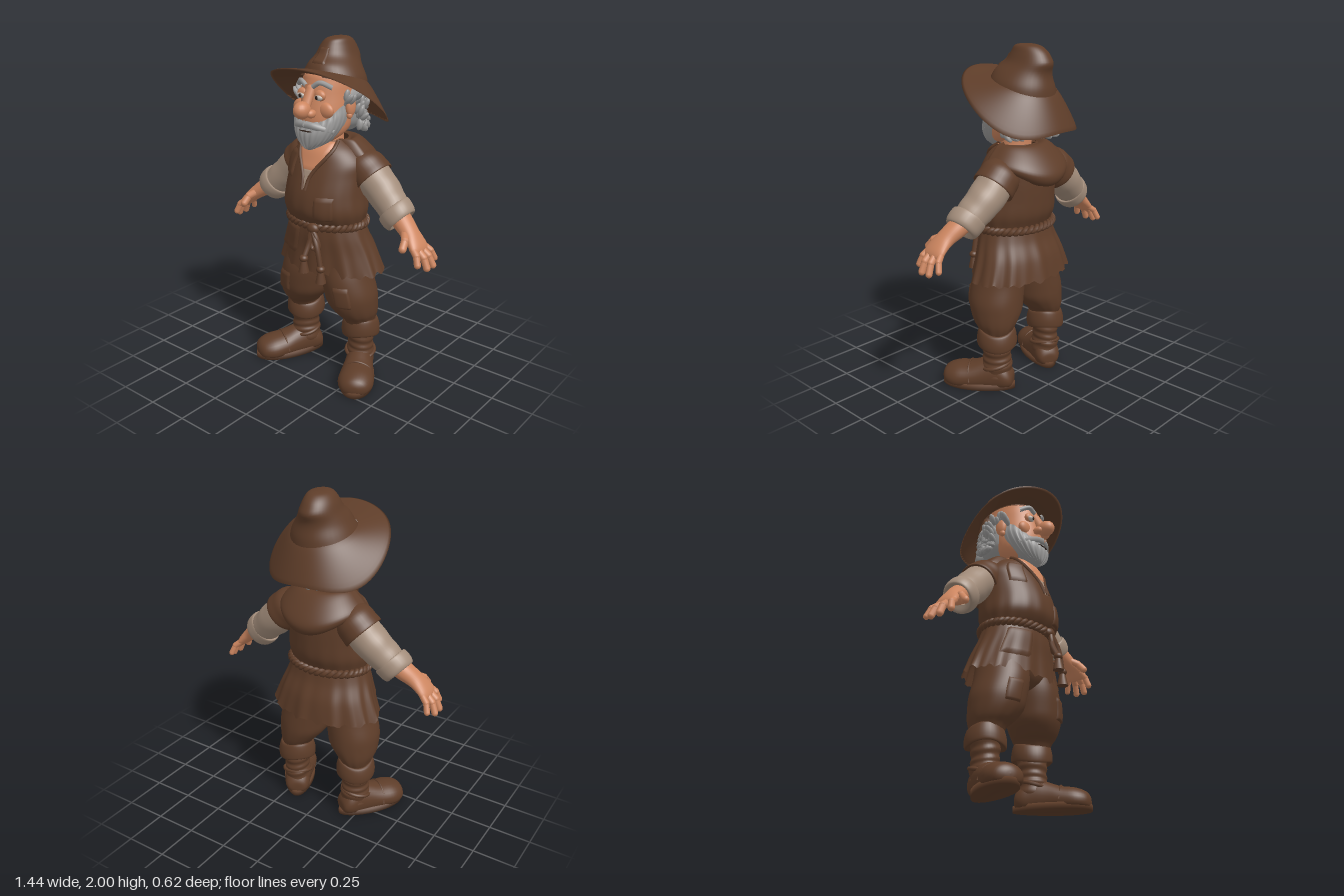
import * as THREE from 'three';

const mat = (name, color, side = THREE.FrontSide) => Object.assign(new THREE.MeshStandardMaterial({ color, side }), { name });
const V = (x, y, z) => new THREE.Vector3(x, y, z);

// Surface through elliptical rings [y, halfX, halfZ, centreZ, centreX]; theta 0 faces +z
function loft(rows, mod) {
  const n = rows.length - 1;
  return (th, v) => {
    const k = Math.min(v * n, n - 1e-6), i = Math.floor(k), t = k - i;
    const at = (j, c) => rows[Math.max(0, Math.min(n, j))][c] ?? 0;
    const c = [0, 1, 2, 3, 4].map(q => {
      const a = at(i - 1, q), b = at(i, q), d = at(i + 1, q), e = at(i + 2, q);
      return b + 0.5 * t * (d - a + t * (2 * a - 5 * b + 4 * d - e + t * (3 * (b - d) + e - a)));
    });
    const p = V(c[4] + Math.max(0, c[1]) * Math.sin(th), c[0], c[3] + Math.max(0, c[2]) * Math.cos(th));
    if (mod) mod(p, th, v);
    return p;
  };
}

// Grid geometry from a function of column and row; columns wrap when closed
function grid(fn, nu, nv, closed) {
  const pos = [], idx = [], w = closed ? nu : nu + 1;
  for (let j = 0; j <= nv; j++) for (let i = 0; i < w; i++) pos.push(...fn(i / nu, j / nv).toArray());
  for (let j = 0; j < nv; j++) for (let i = 0; i < nu; i++) {
    const a = j * w + i, b = j * w + (i + 1) % w;
    idx.push(a, b, b + w, a, b + w, a + w);
  }
  const g = new THREE.BufferGeometry();
  g.setAttribute('position', new THREE.Float32BufferAttribute(pos, 3));
  g.setIndex(idx);
  g.computeVertexNormals();
  return g;
}
const hull = (f, nu = 32, nv = 24) => grid((s, t) => f((s * 2 - 1) * Math.PI, t), nu, nv, true);

// Point lifted off a surface along its normal
function lifted(f, th, v, off) {
  const p = f(th, v), e = 0.004;
  const du = f(th + e, v).sub(f(th - e, v)), dv = f(th, v + e).sub(f(th, v - e));
  return p.addScaledVector(du.cross(dv).normalize(), off);
}
// Thin plate lying on a surface, its border tucked back to it
const plate = (f, map, off = 0.008, n = 12) => grid((s, t) => {
  const edge = s === 0 || s === 1 || t === 0 || t === 1;
  return lifted(f, ...map(s, t), edge ? 0 : off);
}, n, n, false);
const patch = (f, t0, t1, v0, v1) => plate(f, (s, t) => [t0 + (t1 - t0) * s + 0.03 * (t - 0.5), v0 + (v1 - v0) * t]);

const tube = (pts, r, n = 24, closed = false) => new THREE.TubeGeometry(new THREE.CatmullRomCurve3(pts, closed), n, r, 7, closed);
const ball = (x, y, z) => new THREE.SphereGeometry(1, 20, 14).scale(x, y, z);
function rod(a, b, r) {
  const d = b.clone().sub(a), g = new THREE.CapsuleGeometry(r, d.length(), 5, 10);
  g.applyQuaternion(new THREE.Quaternion().setFromUnitVectors(V(0, 1, 0), d.clone().normalize()));
  const m = a.clone().add(b).multiplyScalar(0.5);
  return g.translate(m.x, m.y, m.z);
}
function add(parent, name, geo, material, x = 0, y = 0, z = 0) {
  const m = new THREE.Mesh(geo, material);
  m.name = name;
  m.position.set(x, y, z);
  parent.add(m);
  return m;
}
// Mirrored copy across x with corner order restored
function mirrored(src, name) {
  const out = new THREE.Group();
  out.name = name;
  src.updateMatrixWorld(true);
  src.traverse(o => {
    if (!o.isMesh) return;
    const g = o.geometry.clone().applyMatrix4(o.matrixWorld).scale(-1, 1, 1), ix = g.index.array;
    for (let i = 0; i < ix.length; i += 3) [ix[i], ix[i + 1]] = [ix[i + 1], ix[i]];
    add(out, o.name, g, o.material);
  });
  return out;
}

export function createModel() {
  const root = new THREE.Group();
  root.name = 'villager';
  const brown = mat('brown cloth and leather', 0x5e3d29, THREE.DoubleSide), linen = mat('linen', 0xa38d7b, THREE.DoubleSide);
  const skin = mat('skin', 0xcd8660, THREE.DoubleSide), grey = mat('grey hair', 0x9b9a99), white = mat('eye white', 0xbfb8b0), dark = mat('dark', 0x2e2019);
  const group = name => { const g = new THREE.Group(); g.name = name; root.add(g); return g; };
  let seed = 7;
  const rand = () => (seed = (seed * 16807) % 2147483647) / 2147483647;

  // Tunic: skirt with folds and ragged hem, then the blouse
  const skirt = loft([[0.68, 0.345, 0.22, -0.02], [0.8, 0.3, 0.205, -0.01], [0.9, 0.262, 0.185, 0.01], [0.985, 0.235, 0.17, 0.015]], (p, th, v) => {
    const k = 1 + 0.025 * (1 - v) * (Math.sin(11 * th) + 0.6 * Math.sin(19 * th + 1));
    p.x *= k; p.z *= k;
    p.y += 0.014 * Math.pow(1 - v, 6) * Math.sin(23 * th) * Math.sin(7 * th);
  });
  add(root, 'tunicSkirt', hull(skirt, 120, 20), brown);
  add(root, 'skirtPatch', patch(skirt, -1.0, -0.3, 0.25, 0.8), brown);
  const torso = loft([[0.96, 0.23, 0.16, 0.02], [1.0, 0.245, 0.19, 0.03], [1.06, 0.258, 0.215, 0.032], [1.15, 0.25, 0.215, 0.025],
    [1.25, 0.245, 0.2, 0.008], [1.33, 0.24, 0.18, -0.005], [1.4, 0.185, 0.15, -0.005], [1.45, 0.11, 0.1, 0]], (p, th, v) => {
    const k = 1 + 0.018 * Math.pow(1 - v, 3) * Math.sin(17 * th);
    p.x *= k; p.z *= k;
  });
  add(root, 'tunicBlouse', hull(torso, 96, 35), brown);
  add(root, 'bellyPatch', patch(torso, 0.27, 0.74, 0.2, 0.44), brown);
  add(root, 'shoulderPatch', patch(torso, -1.0, -0.5, 0.54, 0.8), brown);

  // Open neckline with undershirt, chest and trimmed edges
  const neckW = t => 0.025 + 1.0 * Math.pow(t, 1.9), neckV = t => 0.48 + 0.5 * t;
  const neckPlate = (t0, t1, off) => plate(torso, (s, t) => {
    const q = t0 + (t1 - t0) * t;
    return [(s * 2 - 1) * neckW(q), neckV(q)];
  }, off);
  add(root, 'undershirt', neckPlate(0, 0.36, 0.006), linen);
  add(root, 'chest', neckPlate(0.3, 1, 0.009), skin);
  for (const s of [-1, 1]) {
    const pts = [0, 0.2, 0.4, 0.6, 0.8, 1].map(t => lifted(torso, s * (neckW(t) + 0.02), neckV(t), 0.004));
    add(root, 'necklineTrim', tube(pts, 0.011), brown);
  }

  // Hood resting on the shoulders and back
  const hood = loft([[1.365, 0.2, 0.17, -0.03], [1.345, 0.24, 0.228, -0.035], [1.37, 0.25, 0.248, -0.035], [1.42, 0.205, 0.2, -0.03], [1.455, 0.155, 0.14, -0.02], [1.43, 0.11, 0.1, -0.01]], (p, th, v) => {
    const c = Math.cos(th), back = Math.max(0, -c);
    p.y -= 0.14 * back * back * Math.pow(1 - v, 1.1) - 0.02 * back * v;
    if (c > 0) p.z *= 0.3;
  });
  add(root, 'hood', hull(hood, 64, 30), brown);

  // Rope belt of two twisted strands, knot, loop and hanging ends
  for (const ph of [0, Math.PI]) {
    const pts = Array.from({ length: 120 }, (_, i) => {
      const a = i / 120 * Math.PI * 2, q = a * 20 + ph, r = 0.012 * Math.cos(q);
      return V((0.242 + r) * Math.sin(a), 0.972 + 0.013 * Math.sin(q), 0.02 + (0.185 + r) * Math.cos(a));
    });
    add(root, 'ropeBelt', tube(pts, 0.014, 240, true), brown);
  }
  add(root, 'ropeKnot', ball(0.04, 0.032, 0.028), brown, 0.05, 0.965, 0.215);
  add(root, 'ropeLoop', tube([V(0.05, 0.96, 0.225), V(0.09, 0.92, 0.23), V(0.1, 0.86, 0.225), V(0.06, 0.85, 0.23), V(0.04, 0.91, 0.235)], 0.013, 32, true), brown);
  for (const [x, y, z] of [[0.035, 0.77, 0.28], [0.13, 0.715, 0.245]]) {
    add(root, 'ropeEnd', tube([V(0.05, 0.96, 0.22), V(0.05 + (x - 0.05) * 0.6, 0.88, 0.24), V(x, y + 0.03, z)], 0.016), brown);
    add(root, 'ropeEndKnot', ball(0.026, 0.022, 0.026), brown, x, y + 0.03, z);
    add(root, 'tassel', new THREE.CylinderGeometry(0.016, 0.032, 0.075, 10), brown, x, y - 0.015, z);
  }

  // Breeches
  add(root, 'breechesSeat', hull(loft([[0.62, 0, 0, 0.01], [0.64, 0.08, 0.1, 0.01], [0.72, 0.24, 0.155, 0.01], [0.85, 0.23, 0.15, 0.01]])), brown);
  const leg = group('leftLeg');
  const breech = loft([[0.34, 0.08, 0.09, -0.02, 0.215], [0.38, 0.096, 0.11, -0.018, 0.212], [0.42, 0.122, 0.135, -0.005, 0.2], [0.48, 0.148, 0.156, 0.008, 0.18],
    [0.55, 0.155, 0.163, 0.015, 0.17], [0.65, 0.148, 0.163, 0.02, 0.147], [0.75, 0.138, 0.155, 0.01, 0.13], [0.85, 0.12, 0.14, 0.01, 0.125]], (p, th, v) => {
    const k = 1 + 0.02 * Math.pow(1 - v, 3) * Math.sin(13 * th);
    p.x = 0.19 + (p.x - 0.19) * k; p.z *= k;
  });
  add(leg, 'breechesLeg', hull(breech, 60, 28), brown);
  add(leg, 'kneePatch', patch(breech, 0, 0.65, 0.45, 0.67), brown);

  // Boot: sole, foot, wrinkled shaft and turned cuff
  const boot = new THREE.Group();
  boot.name = 'boot';
  boot.position.set(0.215, 0, -0.03);
  boot.rotation.y = 0.52;
  leg.add(boot);
  const sole = loft([[0, 0, 0, 0.108], [0, 0.098, 0.222, 0.112], [0.035, 0.098, 0.222, 0.112], [0.035, 0, 0, 0.108]], (p, th) => { p.x *= 1 + 0.18 * Math.cos(th); });
  add(boot, 'sole', hull(sole, 40, 3), brown);
  const foot = loft([[-0.1, 0, 0, -0.06], [-0.095, 0.05, 0.04, -0.06], [-0.06, 0.075, 0.08, -0.07], [0, 0.08, 0.11, -0.08], [0.08, 0.087, 0.1, -0.07],
    [0.16, 0.1, 0.085, -0.058], [0.24, 0.105, 0.08, -0.052], [0.3, 0.08, 0.06, -0.05], [0.325, 0.038, 0.03, -0.05], [0.33, 0, 0, -0.05]], p => { p.z = Math.min(p.z, -0.02); });
  add(boot, 'foot', hull(foot, 32, 36), brown).rotation.x = Math.PI / 2;
  add(boot, 'toeSeam', tube([V(-0.1, 0.05, 0.15), V(-0.07, 0.115, 0.16), V(0, 0.145, 0.165), V(0.07, 0.115, 0.16), V(0.1, 0.05, 0.15)], 0.006), brown);
  const shaft = loft([[0.08, 0.08, 0.09], [0.15, 0.08, 0.09], [0.2, 0.075, 0.083], [0.26, 0.08, 0.085], [0.33, 0.085, 0.088]], (p, th, v) => {
    const k = 1 + 0.035 * Math.sin(v * 30 + 1.5 * Math.sin(th));
    p.x *= k; p.z *= k;
  });
  add(boot, 'bootShaft', hull(shaft, 32, 40), brown);
  add(boot, 'ankleStrap', new THREE.TorusGeometry(0.085, 0.011, 8, 32).rotateX(Math.PI / 2 + 0.25), brown, 0, 0.145, 0.005);
  const cuff = loft([[0.285, 0.08, 0.08], [0.268, 0.108, 0.113], [0.3, 0.115, 0.118], [0.34, 0.11, 0.113], [0.37, 0.097, 0.102], [0.362, 0.07, 0.08]], (p, th) => { p.y += 0.012 * Math.sin(2 * th + 1); });
  add(boot, 'bootCuff', hull(cuff, 36, 20), brown);
  root.add(mirrored(leg, 'rightLeg'));

  // Arm, running along local y from the shoulder to the fingertips
  const arm = group('leftArm');
  arm.position.set(0.2, 1.3, 0);
  arm.rotation.z = -132 * Math.PI / 180;
  add(arm, 'shoulderCap', hull(loft([[-0.09, 0.06, 0.07, -0.04], [-0.01, 0.11, 0.115, -0.055], [0.05, 0.118, 0.12, -0.06], [0.095, 0.118, 0.122, -0.06], [0.085, 0.1, 0.1, -0.06]]), 36, 20), brown);
  add(arm, 'sleeve', hull(loft([[0, 0.09, 0.09, -0.06], [0.08, 0.104, 0.105, -0.06], [0.18, 0.1, 0.104, -0.058], [0.27, 0.092, 0.097, -0.045], [0.34, 0.082, 0.09, -0.035]], (p, th, v) => {
    p.x *= 1 + 0.02 * Math.sin(v * 22 + 2 * th);
  }), 32, 32), linen);
  add(arm, 'sleeveCuff', hull(loft([[0.31, 0.08, 0.08, -0.035], [0.3, 0.1, 0.098, -0.035], [0.335, 0.104, 0.101, -0.03], [0.372, 0.097, 0.095, -0.028], [0.386, 0.082, 0.08, -0.025], [0.365, 0.05, 0.055, -0.02]]), 32, 24), linen);
  add(arm, 'forearmAndPalm', hull(loft([[0.3, 0.06, 0.065, -0.03, -0.005], [0.4, 0.054, 0.063, -0.01, -0.014], [0.47, 0.044, 0.06, 0.008, -0.021], [0.52, 0.036, 0.068, 0.018, -0.023],
    [0.565, 0.029, 0.073, 0.022, -0.02], [0.592, 0.018, 0.06, 0.022, -0.016], [0.602, 0, 0, 0.022, -0.014]])), skin);
  for (const [d0, z0, d1, z1, r] of [[0.56, -0.03, 0.65, -0.066, 0.017], [0.57, 0.006, 0.68, -0.013, 0.019], [0.57, 0.042, 0.678, 0.045, 0.02], [0.55, 0.07, 0.64, 0.096, 0.019], [0.46, 0.045, 0.525, 0.115, 0.022]]) {
    const mid = V(-0.02, (d0 + d1) / 2, (z0 + z1) / 2);
    add(arm, 'finger', rod(V(-0.018, d0, z0), mid, r * 1.08), skin);
    add(arm, 'fingerTip', rod(mid, V(0.004, d1, z1), r), skin);
  }
  root.add(mirrored(arm, 'rightArm'));

  // Head and face
  const head = group('head');
  add(head, 'neck', hull(loft([[1.36, 0.11, 0.1, 0.015], [1.43, 0.092, 0.086, 0.015], [1.52, 0.085, 0.085, 0.01]]), 28, 8), skin);
  add(head, 'skull', hull(loft([[1.44, 0, 0, 0.1], [1.45, 0.08, 0.07, 0.09], [1.51, 0.135, 0.14, 0.045], [1.6, 0.15, 0.168, 0.025], [1.7, 0.145, 0.168, 0.008], [1.78, 0.138, 0.162, 0], [1.83, 0.12, 0.14, -0.01], [1.86, 0, 0, -0.03]]), 36, 28), skin);
  const beard = loft([[1.405, 0, 0, 0.165], [1.415, 0.035, 0.04, 0.16], [1.45, 0.1, 0.09, 0.125], [1.5, 0.142, 0.125, 0.095], [1.545, 0.157, 0.13, 0.075], [1.57, 0.15, 0.118, 0.07]], (p, th, v) => {
    p.x *= 1 + 0.012 * Math.sin(24 * th);
    p.z += 0.003 * Math.sin(24 * th);
    p.y += 0.085 * v * v * Math.pow(Math.sin(th), 4);
  });
  add(head, 'beard', hull(beard, 96, 24), grey);
  add(head, 'mouth', ball(0.045, 0.004, 0.01), dark, 0, 1.519, 0.212);
  add(head, 'noseBridge', rod(V(0, 1.74, 0.162), V(0, 1.65, 0.21), 0.027), skin);
  add(head, 'noseTip', ball(0.044, 0.048, 0.056), skin, 0, 1.638, 0.238);
  const side = group('leftFace');
  add(side, 'nostril', ball(0.022, 0.024, 0.032), skin, 0.037, 1.618, 0.205);
  add(side, 'cheek', ball(0.055, 0.045, 0.028), skin, 0.083, 1.632, 0.143);
  add(side, 'eyelid', ball(0.036, 0.03, 0.022), skin, 0.06, 1.712, 0.158);
  add(side, 'eye', ball(0.026, 0.017, 0.018), white, 0.061, 1.703, 0.17);
  add(side, 'pupil', ball(0.01, 0.011, 0.005), dark, 0.058, 1.703, 0.186);
  add(side, 'eyebrow', tube([V(0.022, 1.758, 0.174), V(0.065, 1.782, 0.165), V(0.116, 1.755, 0.125)], 0.014), grey);
  add(side, 'moustache', tube([V(0, 1.556, 0.212), V(0.045, 1.551, 0.202), V(0.09, 1.536, 0.17), V(0.122, 1.52, 0.125)], 0.02), grey);
  add(side, 'ear', ball(0.022, 0.056, 0.036), skin, 0.165, 1.645, 0.025);
  add(side, 'earLobe', ball(0.016, 0.02, 0.018), skin, 0.165, 1.598, 0.035);
  root.add(mirrored(side, 'rightFace'));

  // Curly hair round the sides and back
  add(head, 'hairBase', hull(loft([[1.49, 0.1, 0.1, -0.08], [1.54, 0.15, 0.145, -0.075], [1.62, 0.165, 0.15, -0.065], [1.7, 0.16, 0.145, -0.055], [1.76, 0.13, 0.12, -0.045]]), 36, 16), grey);
  for (let i = 0; i < 130; i++) {
    const a = 1.5 + rand() * (Math.PI * 2 - 3), h = rand();
    const curl = add(head, 'hairCurl', new THREE.SphereGeometry(1, 9, 7).scale(0.017, 0.034, 0.022), grey, (0.175 - 0.02 * h) * Math.sin(a), 1.51 + 0.17 * h, -0.06 + (0.16 - 0.02 * h) * Math.cos(a));
    curl.rotation.set(rand() * 2, a, rand() * 2 - 1);
  }
  for (const s of [-1, 1]) for (let i = 0; i < 20; i++) {
    const tuft = add(head, 'sideTuft', new THREE.SphereGeometry(1, 9, 7).scale(0.014, 0.036, 0.02), grey, s * (0.155 + 0.045 * rand()), 1.575 + 0.007 * i, i > 13 ? 0.07 - 0.1 * rand() : -0.03 - 0.05 * rand());
    tuft.rotation.z = -s * (0.2 + 0.6 * rand());
  }

  // Slouched hat: tilted crown with a bulge behind, wavy brim, patch
  const hat = group('hat');
  const crown = loft([[1.755, 0.185, 0.19, -0.04], [1.8, 0.168, 0.182, -0.045], [1.85, 0.14, 0.165, -0.05], [1.9, 0.108, 0.14, -0.075], [1.95, 0.086, 0.122, -0.085], [1.985, 0.063, 0.09, -0.078], [1.998, 0.035, 0.05, -0.075], [2, 0, 0, -0.075]], (p, th, v) => {
    p.y += 0.28 * (p.z + 0.04) * Math.pow(1 - v, 2);
    p.x += 0.006 * Math.sin(v * 9);
    p.z -= 0.016 * Math.max(0, -Math.cos(th)) * Math.exp(-Math.pow((v - 0.46) / 0.07, 2));
  });
  add(hat, 'crown', hull(crown, 40, 35), brown);
  add(hat, 'crownPatch', patch(crown, -0.25, 0.35, 0.28, 0.55), brown);
  const brim = (th, v) => {
    const c = Math.cos(th), sn = Math.sin(th), s = 1 - Math.abs(2 * v - 1), mix = (a, b) => a + (b - a) * s;
    const outer = 1.65 + 0.24 * c + 0.045 * c * c - 0.075 * c * c * c + 0.006 * Math.sin(4 * th + 1);
    const inner = 1.775 + 0.057 * c, y = inner + (outer - inner) * Math.pow(s, 1.2);
    return V(mix(0.18, 0.343) * sn - 0.008 * s, y + Math.sign(v - 0.5) * 0.012 * Math.sqrt(1 - s * s), mix(-0.04, -0.007) + mix(0.185, 0.303) * c);
  };
  add(hat, 'brim', hull(brim, 72, 24), brown);
  return root;
}
